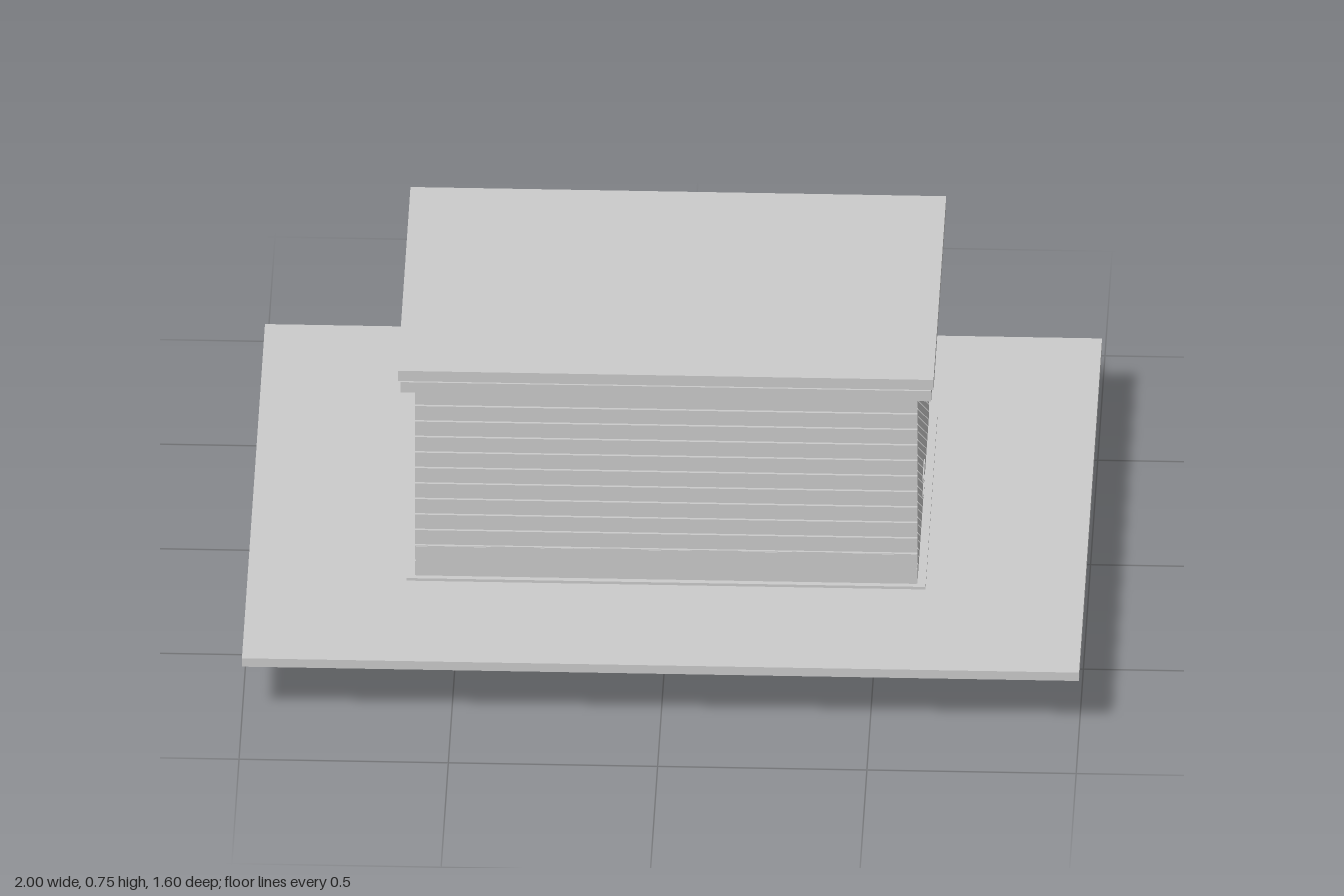
import * as THREE from 'three';

const material = new THREE.MeshStandardMaterial({ color: 0xcccccc, flatShading: true });

export function createModel() {
  const model = new THREE.Group();

  // Box given by its half width, half depth, and bottom and top heights
  function block(name, halfX, halfZ, y0, y1, x = 0, z = 0) {
    const mesh = new THREE.Mesh(new THREE.BoxGeometry(halfX * 2, y1 - y0, halfZ * 2), material);
    mesh.name = name;
    mesh.position.set(x, (y0 + y1) / 2, z);
    model.add(mesh);
  }

  // Stepped foundation under the slab
  block('foundationFooting', 0.65, 0.447, 0, 0.07);
  block('foundationStep', 0.63, 0.43, 0.07, 0.12);
  block('foundationCore', 0.6, 0.4, 0.12, 0.14);

  // Piers at both ends of the foundation
  for (const sx of [-1, 1]) {
    for (const sz of [-1, 1]) block('foundationPier', 0.03, 0.05, 0, 0.14, sx * 0.63, sz * 0.35);
  }

  // Wide ground slab and skirting around the walls
  block('groundSlab', 1, 0.8, 0.14, 0.163);
  block('wallSkirting', 0.62, 0.415, 0.163, 0.17);

  // Walls: a recessed core wrapped in boards with narrow grooves between
  block('wallCore', 0.593, 0.393, 0.17, 0.69);
  const boardStep = 0.0427, gap = 0.004;
  for (let i = 0; i < 12; i++) {
    const y0 = 0.17 + i * boardStep;
    block('wallBoard', 0.6, 0.4, y0, y0 + boardStep - gap);
  }

  // Wider bottom board on the long walls, and the vent ledges
  for (const s of [-1, 1]) {
    block('bottomBoard', 0.598, 0.003, 0.17, 0.25, 0, s * 0.398);
    for (const x of [-0.36, -0.12, 0.12, 0.36]) {
      block('longWallVentLedge', 0.06, 0.003, 0.249, 0.254, x, s * 0.4);
    }
    for (const y of [0.207, 0.25]) block('endWallVentLedge', 0.003, 0.05, y, y + 0.005, s * 0.6, 0);
  }

  // Roof cornice in two bands with a shadow gap
  block('lowerCornice', 0.634, 0.433, 0.692, 0.72);
  block('corniceNeck', 0.615, 0.415, 0.685, 0.73);
  block('roofCap', 0.64, 0.44, 0.727, 0.755);

  return model;
}
